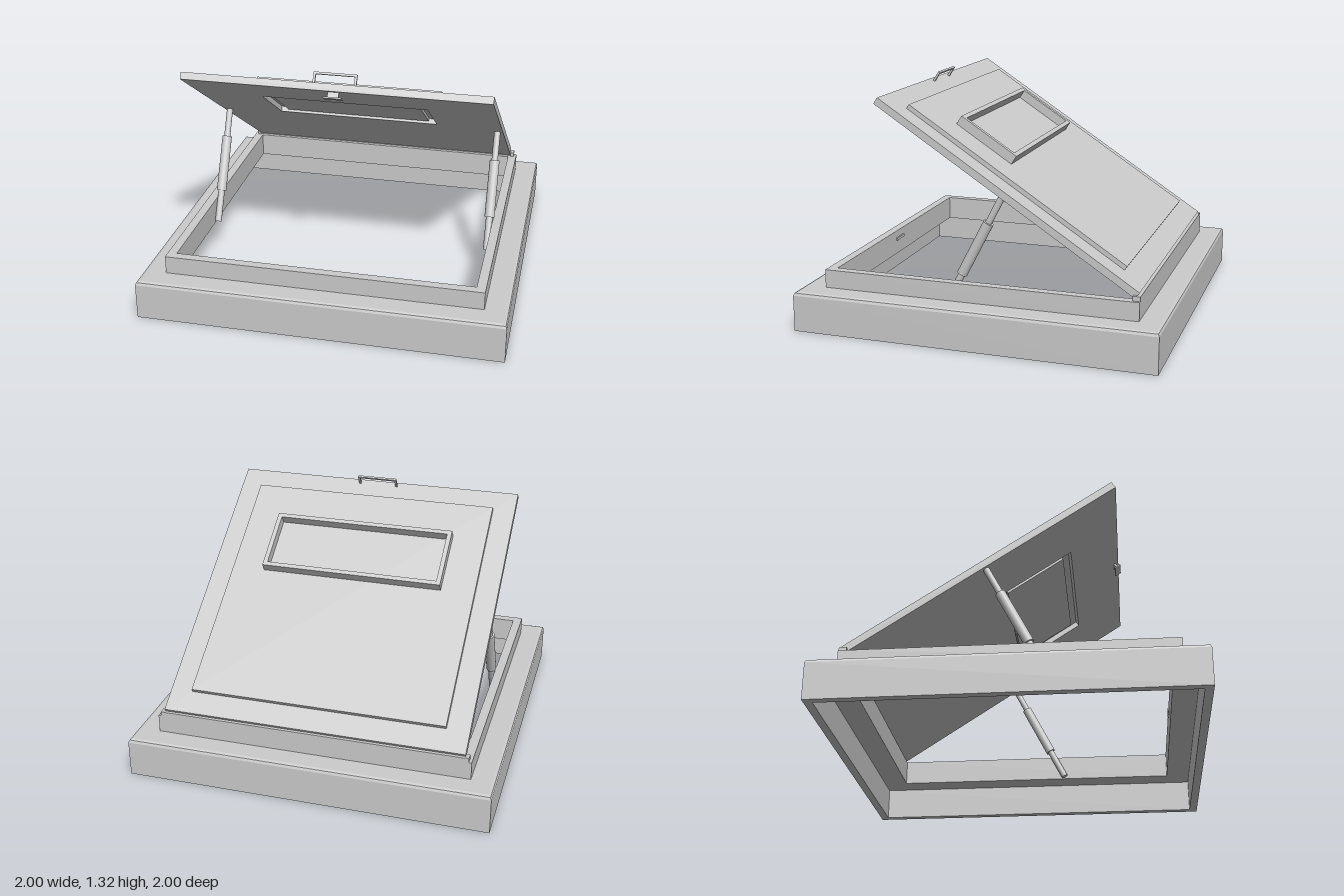
import * as THREE from 'three';

const mat = new THREE.MeshStandardMaterial({ color: 0xcccccc });

function add(parent, geo, name) {
  const mesh = new THREE.Mesh(geo, mat);
  mesh.name = name;
  parent.add(mesh);
  return mesh;
}

// Box given by its limits on each axis
function box(parent, name, x0, x1, y0, y1, z0, z1) {
  const geo = new THREE.BoxGeometry(x1 - x0, y1 - y0, z1 - z0);
  return add(parent, geo.translate((x0 + x1) / 2, (y0 + y1) / 2, (z0 + z1) / 2), name);
}

function rectangle(path, hw, z0, z1) {
  path.moveTo(-hw, z0);
  path.lineTo(hw, z0);
  path.lineTo(hw, z1);
  path.lineTo(-hw, z1);
  path.closePath();
  return path;
}

// Flat plate lying in x-z with a rectangular opening; outer and hole are [halfWidth, z0, z1]
function framePlate(parent, name, outer, hole, y0, y1) {
  const shape = rectangle(new THREE.Shape(), ...outer);
  shape.holes.push(rectangle(new THREE.Path(), ...hole));
  const geo = new THREE.ExtrudeGeometry(shape, { depth: y1 - y0, bevelEnabled: false });
  return add(parent, geo.rotateX(Math.PI / 2).translate(0, y1, 0), name);
}

// Cylinder between two points
function rod(parent, name, a, b, r) {
  const dir = b.clone().sub(a);
  const mesh = add(parent, new THREE.CylinderGeometry(r, r, dir.length(), 24), name);
  mesh.position.copy(a).add(b).multiplyScalar(0.5);
  mesh.quaternion.setFromUnitVectors(new THREE.Vector3(0, 1, 0), dir.normalize());
}

export function createModel() {
  const model = new THREE.Group();
  model.name = 'roofHatch';

  // Square skirt, deck and raised curb: one closed profile swept round four sides
  const profile = [
    [1, 0], [1, 0.2], [0.994, 0.214], [0.98, 0.22], [0.87, 0.22], [0.87, 0.32],
    [0.82, 0.32], [0.82, 0.18], [0.955, 0.18], [0.955, 0], [1, 0],
  ].map(([r, y]) => new THREE.Vector2(r * Math.SQRT2, y));
  const baseGeo = new THREE.LatheGeometry(profile, 4, Math.PI / 4).toNonIndexed();
  baseGeo.computeVertexNormals();
  add(model, baseGeo, 'baseAndCurb');
  box(model, 'latchStrike', -0.05, 0.05, 0.262, 0.278, 0.812, 0.822);

  // Hinge along the back of the curb
  box(model, 'hingeBar', -0.85, 0.85, 0.318, 0.343, -0.87, -0.842);
  for (const s of [-1, 1]) box(model, 'hingeEnd', s * 0.845 - 0.01, s * 0.845 + 0.01, 0.318, 0.345, -0.87, -0.83);

  // Open lid: local z runs from the hinge to the free edge, local y is its outer normal
  const lid = new THREE.Group();
  lid.name = 'lid';
  lid.position.set(0, 0.325, -0.84);
  lid.rotation.x = -33 * Math.PI / 180;
  model.add(lid);
  framePlate(lid, 'lidLiner', [0.835, 0, 1.68], [0.46, 0.936, 1.367], 0, 0.03);
  box(lid, 'lidSkin', -0.835, 0.835, 0.03, 0.04, 0, 1.68);
  box(lid, 'raisedPanel', -0.71, 0.71, 0.04, 0.065, 0.13, 1.55);
  framePlate(lid, 'windowFrame', [0.52, 0.95, 1.32], [0.495, 0.975, 1.295], 0.065, 0.118);
  box(lid, 'windowInsert', -0.415, 0.415, 0.012, 0.03, 0.95, 1.32);

  // Pull handle on the free edge
  box(lid, 'handleGrip', -0.117, 0.117, 0.09, 0.102, 1.65, 1.662);
  for (const s of [-1, 1]) box(lid, 'handlePost', s * 0.111 - 0.006, s * 0.111 + 0.006, 0.04, 0.09, 1.65, 1.662);

  // Latch under the free edge
  box(lid, 'latchStem', -0.03, 0.03, -0.03, 0, 1.648, 1.66);
  box(lid, 'latchPlate', -0.05, 0.05, -0.036, -0.028, 1.635, 1.672);

  // Pair of gas struts, each along one sloping line
  for (const s of [-1, 1]) {
    const strut = new THREE.Group();
    strut.name = s > 0 ? 'leftStrut' : 'rightStrut';
    model.add(strut);
    const at = (y) => new THREE.Vector3(s * 0.802, y, 0.105 - 0.517 * (y - 0.345));
    rod(strut, 'strutFoot', at(0.19), at(0.36), 0.019);
    rod(strut, 'strutCylinder', at(0.355), at(0.645), 0.028);
    rod(strut, 'strutRod', at(0.64), at(0.795), 0.018);
  }
  return model;
}
